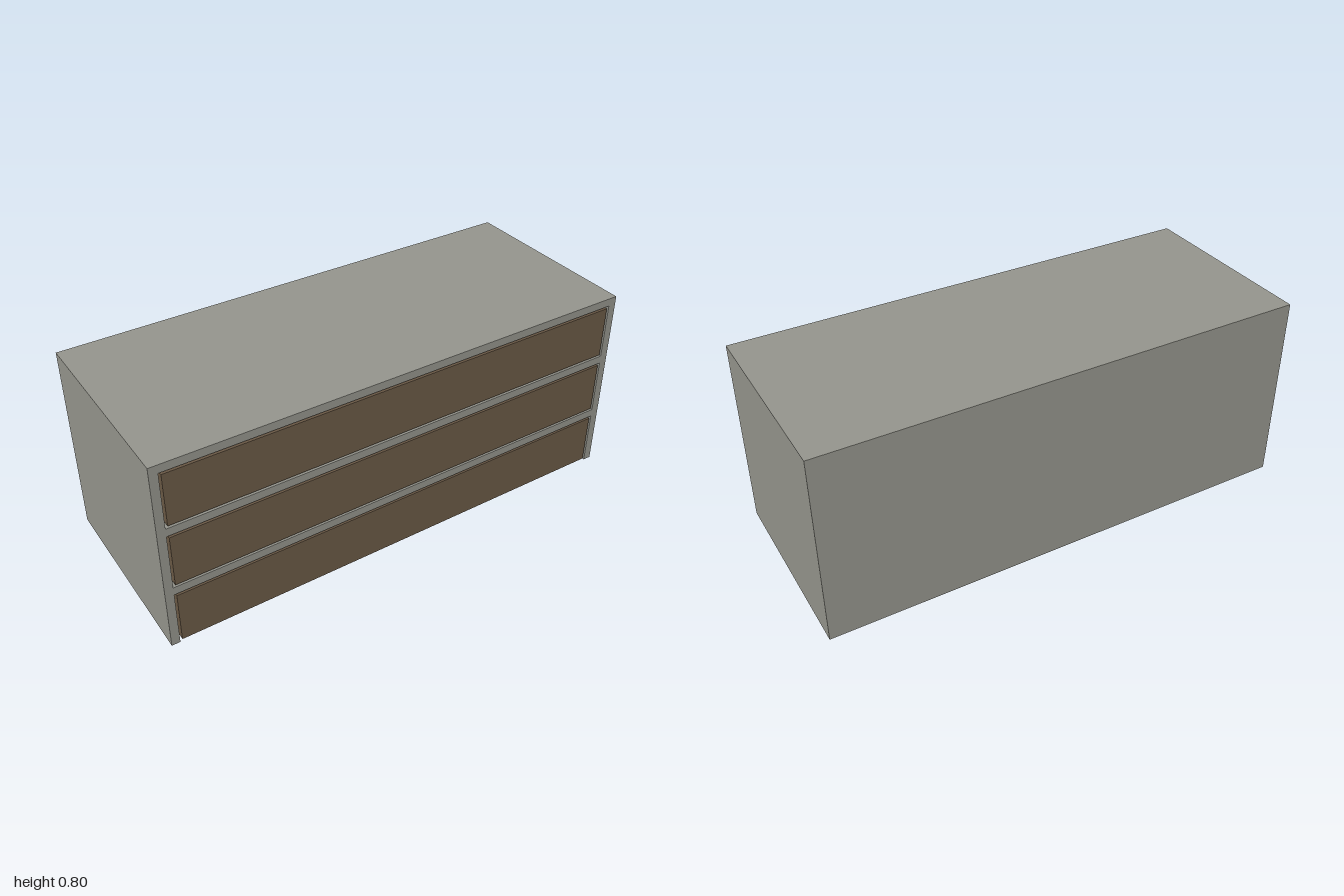
import * as THREE from 'three';

const W = 2, H = 0.8, D = 0.8;
const T = 0.0333;            // panel thickness
const PITCH = H / 3;         // one drawer row including the panel above it
const GAP = 0.009;           // reveal around each drawer front
const INSET = 0.031;         // clearance between drawer box and carcass
const WALL = 0.02;           // drawer box wall

export function createModel() {
  const grey = new THREE.MeshStandardMaterial({ color: 0x95958d });
  grey.name = 'greyPanel';
  const brown = new THREE.MeshStandardMaterial({ color: 0x6b5a46 });
  brown.name = 'brownWood';

  // Box given by its minimum and maximum corners
  const box = (parent, name, material, [x0, y0, z0], [x1, y1, z1]) => {
    const mesh = new THREE.Mesh(new THREE.BoxGeometry(x1 - x0, y1 - y0, z1 - z0), material);
    mesh.position.set((x0 + x1) / 2, (y0 + y1) / 2, (z0 + z1) / 2);
    mesh.name = name;
    parent.add(mesh);
  };

  const model = new THREE.Group();
  model.name = 'chestOfDrawers';

  // Carcass: sides, back, top and dividing shelves, open underneath
  const carcass = new THREE.Group();
  carcass.name = 'carcass';
  model.add(carcass);
  const xi = W / 2 - T, zb = -D / 2 + T, zf = D / 2;
  box(carcass, 'leftSide', grey, [xi, 0, -zf], [W / 2, H, zf]);
  box(carcass, 'rightSide', grey, [-W / 2, 0, -zf], [-xi, H, zf]);
  box(carcass, 'backPanel', grey, [-xi, 0, -zf], [xi, H, zb]);
  for (let i = 1; i <= 3; i++) {
    const y = i * PITCH;
    box(carcass, i === 3 ? 'topPanel' : 'shelf', grey, [-xi, y - T, zb], [xi, y, zf]);
  }

  // Drawers: wooden front with an open-topped box behind it
  for (let i = 0; i < 3; i++) {
    const drawer = new THREE.Group();
    drawer.name = 'drawer';
    model.add(drawer);
    const y0 = i * PITCH + GAP, y1 = (i + 1) * PITCH - T - GAP;
    const fx = xi - GAP, bx = xi - INSET;
    const z0 = zb + INSET, z1 = zf - T, yTop = y1 - 0.03;
    box(drawer, 'drawerFront', brown, [-fx, y0, z1], [fx, y1, zf]);
    box(drawer, 'drawerFloor', grey, [-bx, y0, z0], [bx, y0 + WALL, z1]);
    box(drawer, 'drawerBack', grey, [-bx, y0 + WALL, z0], [bx, yTop, z0 + WALL]);
    box(drawer, 'drawerLeftWall', grey, [bx - WALL, y0 + WALL, z0 + WALL], [bx, yTop, z1]);
    box(drawer, 'drawerRightWall', grey, [-bx, y0 + WALL, z0 + WALL], [-bx + WALL, yTop, z1]);
  }
  return model;
}
